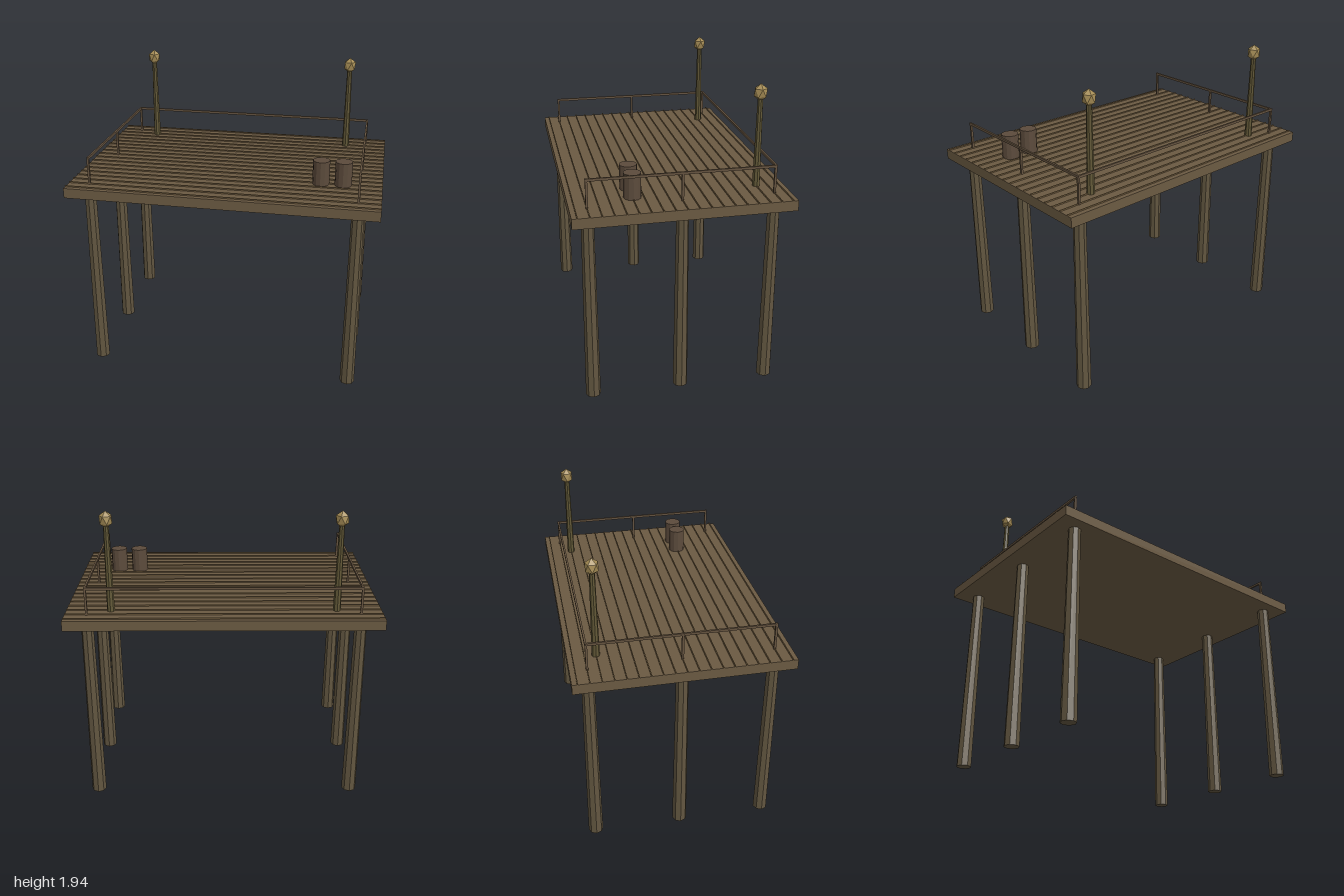
import * as THREE from 'three';

const material = (color) => new THREE.MeshStandardMaterial({ color, flatShading: true });

export function createModel() {
  const model = new THREE.Group();
  const deckWood = material(0x6b5a42);
  const seamWood = material(0x7a6444);
  const pileWood = material(0x625640);
  const railWood = material(0x65533f);
  const barrelWood = material(0x5c4b3c);
  const poleWood = material(0x625837);
  const lampGlow = material(0xa58c55);

  const add = (name, geometry, mat, x, y, z) => {
    const mesh = new THREE.Mesh(geometry, mat);
    mesh.name = name;
    mesh.position.set(x, y, z);
    model.add(mesh);
    return mesh;
  };
  const deckTop = 1.296;

  // Deck slab with raised strips marking the plank seams
  add('deck', new THREE.BoxGeometry(2, 0.066, 1.354), deckWood, 0, deckTop - 0.033, 0);
  const strip = new THREE.BoxGeometry(2, 0.012, 0.006);
  for (let i = -9; i <= 9; i++) add('plankSeam', strip, seamWood, 0, deckTop + 0.002, i * 0.0715);

  // Tapered piles, with a railing post above each
  const pile = new THREE.CylinderGeometry(0.039, 0.048, 1.24, 8);
  const post = new THREE.BoxGeometry(0.014, 0.18, 0.014);
  for (const x of [-0.86, 0.86]) {
    for (const z of [-0.572, 0, 0.572]) {
      add('pile', pile, pileWood, x, 0.62, z);
      add('railPost', post, railWood, x, deckTop + 0.085, z);
    }
    add('sideRail', new THREE.BoxGeometry(0.012, 0.016, 1.16), railWood, x, 1.471, 0);
  }
  add('backRail', new THREE.BoxGeometry(1.72, 0.016, 0.012), railWood, 0, 1.471, -0.574);

  // Lamp posts: tapered pole topped by a faceted lamp standing on its point
  const pole = new THREE.CylinderGeometry(0.017, 0.025, 0.56, 8);
  const lamp = new THREE.IcosahedronGeometry(0.045, 0);
  lamp.rotateZ(-Math.atan(2 / (1 + Math.sqrt(5))));
  lamp.scale(1, 1.2, 1);
  for (const x of [-0.715, 0.715]) {
    add('lampPole', pole, poleWood, x, deckTop + 0.28, -0.502);
    add('lamp', lamp, lampGlow, x, 1.89, -0.502);
  }

  // Two barrels near the front corner
  const barrel = new THREE.CylinderGeometry(0.055, 0.055, 0.16, 12);
  for (const x of [0.604, 0.748]) add('barrel', barrel, barrelWood, x, deckTop + 0.08, 0.284);

  return model;
}
